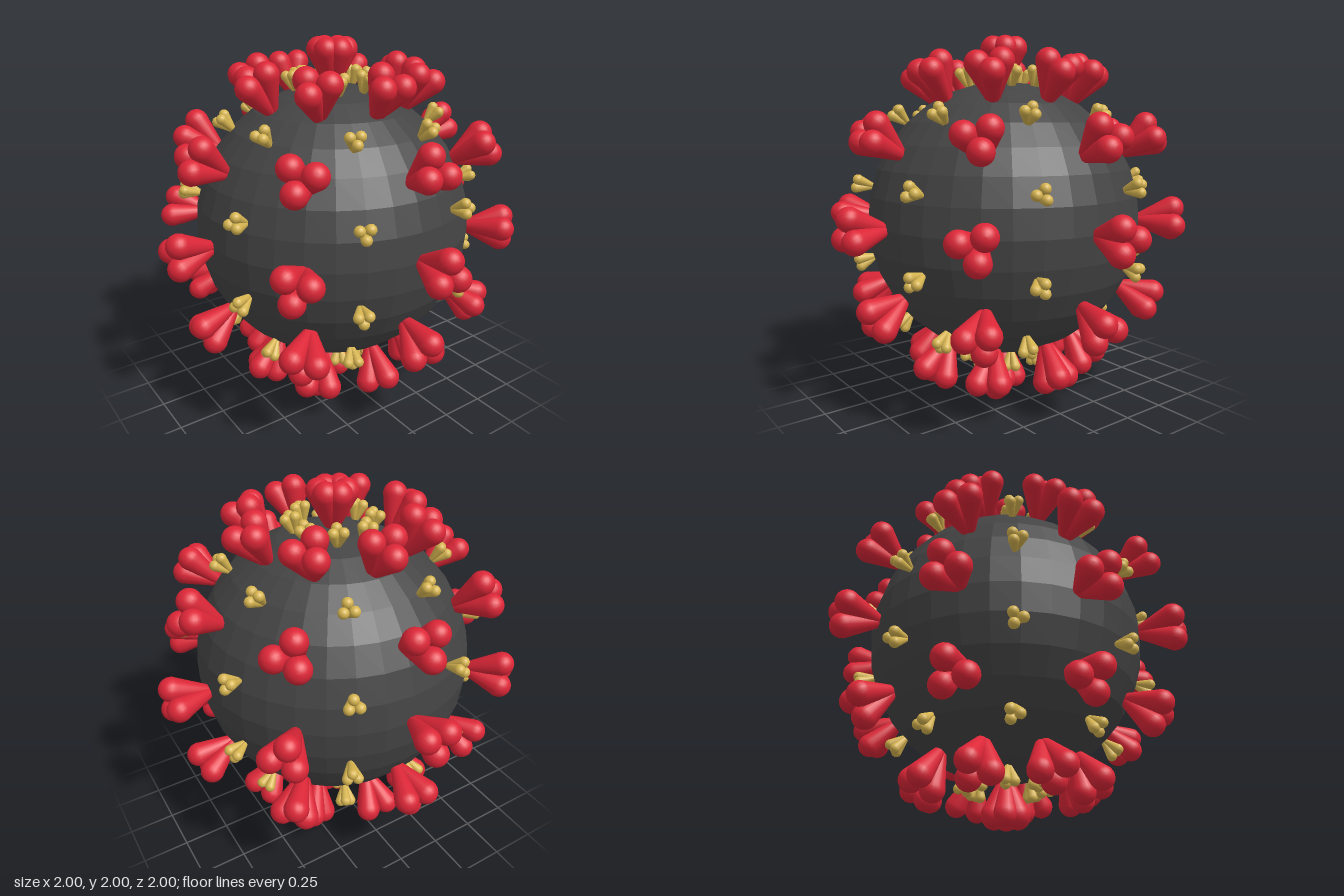
import * as THREE from 'three';
import { mergeGeometries } from 'three/addons/utils/BufferGeometryUtils.js';

const UP = new THREE.Vector3(0, 1, 0);
const rad = THREE.MathUtils.degToRad;

// One drop-shaped arm: narrow root at the origin, round lobe at the far end
function armGeometry(length, rootRadius, lobeRadius, segments) {
  const points = [new THREE.Vector2(0, 0), new THREE.Vector2(rootRadius, 0)];
  for (let i = 0; i <= 9; i++) {
    const a = rad(-20 + (110 * i) / 9);
    points.push(new THREE.Vector2(
      i === 9 ? 0 : lobeRadius * Math.cos(a), length + lobeRadius * Math.sin(a)));
  }
  return new THREE.LatheGeometry(points, segments);
}

// Three arms leaning outwards from a shared root; turn rotates them about the stalk
function trimerGeometry({ height, spread, rootRadius, lobeRadius, segments, turn }) {
  const arms = [];
  for (let i = 0; i < 3; i++) {
    const arm = armGeometry(Math.hypot(height, spread), rootRadius, lobeRadius, segments);
    arm.rotateX(Math.atan2(spread, height));
    arm.rotateY(turn + (i * Math.PI * 2) / 3);
    arms.push(arm);
  }
  return mergeGeometries(arms);
}

// Outward direction for a latitude and a longitude measured from the front
function direction(lat, lon) {
  const a = rad(lat), b = rad(lon);
  return new THREE.Vector3(Math.cos(a) * Math.sin(b), Math.sin(a), Math.cos(a) * Math.cos(b));
}

function plant(parent, name, geometry, material, dir, rootDistance) {
  const mesh = new THREE.Mesh(geometry, material);
  mesh.name = name;
  mesh.position.copy(dir).multiplyScalar(rootDistance);
  mesh.quaternion.setFromUnitVectors(UP, dir);
  parent.add(mesh);
  return mesh;
}

export function createModel() {
  const model = new THREE.Group();
  model.name = 'virusParticle';
  const body = new THREE.Group();
  body.name = 'particle';
  body.position.y = 1;
  model.add(body);

  const shellMaterial = new THREE.MeshStandardMaterial({ color: 0x444444, flatShading: true });
  const spikeMaterial = new THREE.MeshStandardMaterial({ color: 0xdc2637 });
  const budMaterial = new THREE.MeshStandardMaterial({ color: 0xd6b450 });

  // Faceted round shell
  const shell = new THREE.Mesh(new THREE.SphereGeometry(0.757, 32, 16), shellMaterial);
  shell.name = 'shell';
  body.add(shell);

  // Large red spikes in five rings of eight
  const spikes = new THREE.Group();
  spikes.name = 'spikes';
  body.add(spikes);
  const spikeGeometry = trimerGeometry({
    height: 0.205, spread: 0.07, rootRadius: 0.025, lobeRadius: 0.065, segments: 20, turn: Math.PI,
  });
  for (const lat of [-60, -30, 0, 30, 60]) {
    for (let i = 0; i < 8; i++) {
      plant(spikes, 'spike', spikeGeometry, spikeMaterial, direction(lat, i * 45), 0.73);
    }
  }

  // Six-lobed spikes at the poles: two trimers turned half round
  for (const side of [-1, 1]) {
    for (const turn of [0, Math.PI]) {
      plant(spikes, 'poleSpike', spikeGeometry, spikeMaterial, new THREE.Vector3(0, side, 0), 0.73)
        .rotateY(turn);
    }
  }

  // Small yellow buds in six rings between the spikes
  const buds = new THREE.Group();
  buds.name = 'buds';
  body.add(buds);
  const budGeometry = trimerGeometry({
    height: 0.1, spread: 0.03, rootRadius: 0.01, lobeRadius: 0.028, segments: 12, turn: rad(100),
  });
  for (const lat of [-75, -45, -15, 15, 45, 75]) {
    for (let i = 0; i < 8; i++) {
      plant(buds, 'bud', budGeometry, budMaterial, direction(lat, 20.5 + i * 45), 0.735);
    }
  }
  return model;
}
